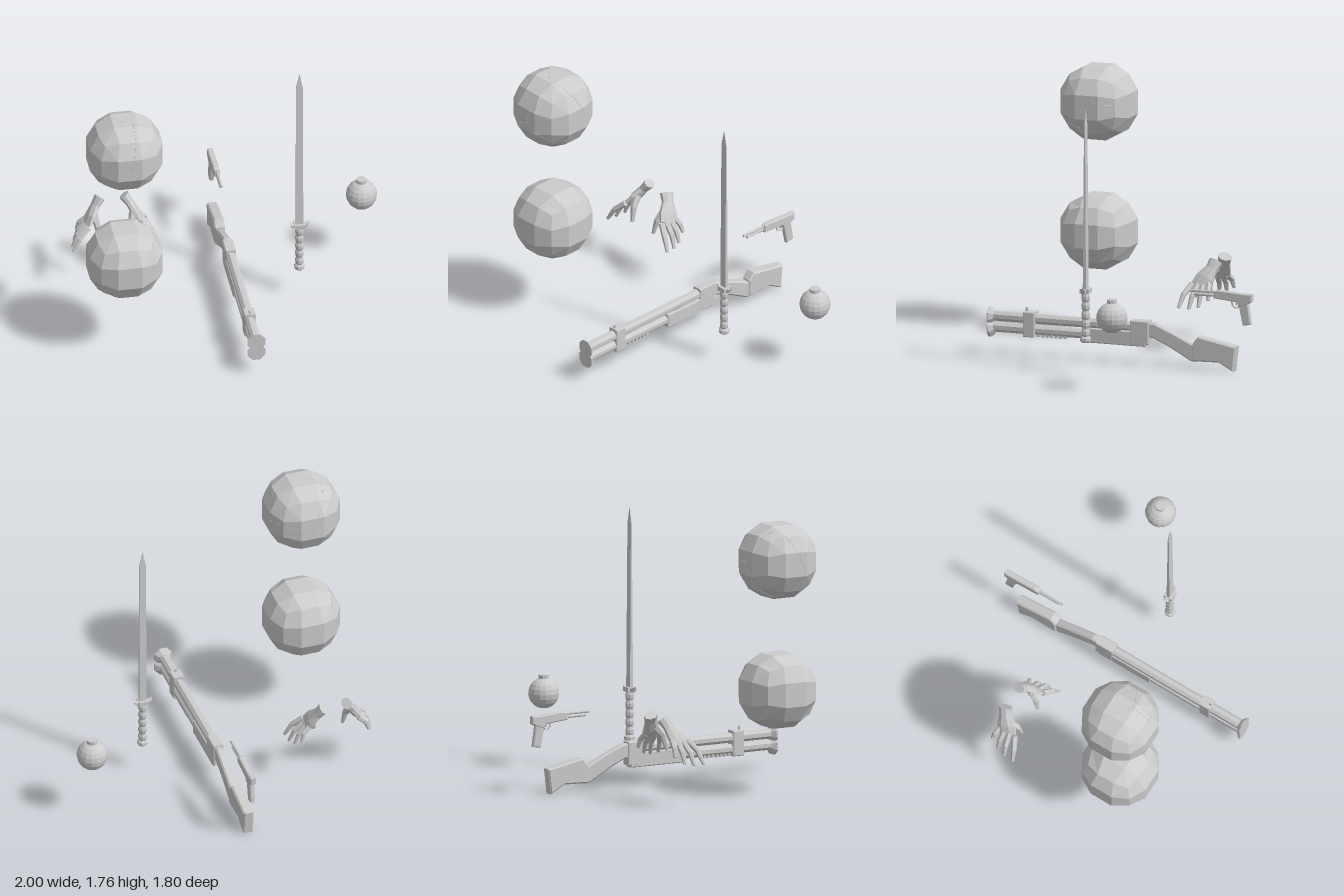
import * as THREE from 'three';
import { ConvexGeometry } from 'three/addons/geometries/ConvexGeometry.js';

const grey = new THREE.MeshStandardMaterial({ color: 0xcccccc, flatShading: true });

function add(parent, name, geometry, x = 0, y = 0, z = 0) {
  const mesh = new THREE.Mesh(geometry, grey);
  mesh.name = name;
  mesh.position.set(x, y, z);
  parent.add(mesh);
  return mesh;
}

function group(parent, name, x = 0) {
  const g = new THREE.Group();
  g.name = name;
  g.position.x = x;
  parent.add(g);
  return g;
}

// Closed loft through stations [x, y, z, thickness radius, width radius]
function loft(stations, sides = 8, phase = Math.PI / sides) {
  const pts = stations.map(s => new THREE.Vector3(s[0], s[1], s[2]));
  const pos = [], index = [], last = pts.length - 1;
  pts.forEach((p, i) => {
    const d = pts[Math.min(i + 1, last)].clone().sub(pts[Math.max(i - 1, 0)]).normalize();
    const ref = Math.abs(d.z) > 0.9 ? new THREE.Vector3(1, 0, 0) : new THREE.Vector3(0, 0, 1);
    const side = ref.addScaledVector(d, -ref.dot(d)).normalize();
    const n = d.clone().cross(side);
    const [, , , ru, rv = ru] = stations[i];
    for (let j = 0; j < sides; j++) {
      const a = phase + j / sides * Math.PI * 2;
      const v = p.clone().addScaledVector(side, rv * Math.cos(a)).addScaledVector(n, ru * Math.sin(a));
      pos.push(v.x, v.y, v.z);
    }
  });
  const start = pos.length / 3;
  [pts[0], pts[last]].forEach(p => pos.push(p.x, p.y, p.z));
  for (let j = 0; j < sides; j++) {
    const k = (j + 1) % sides;
    for (let i = 0; i < last; i++) {
      const a = i * sides, b = a + sides;
      index.push(a + j, a + k, b + k, a + j, b + k, b + j);
    }
    index.push(start, k, j, start + 1, last * sides + j, last * sides + k);
  }
  const g = new THREE.BufferGeometry();
  g.setAttribute('position', new THREE.Float32BufferAttribute(pos, 3));
  g.setIndex(index);
  g.computeVertexNormals();
  return g;
}

// Chamfered plate from an outline, centred on its own thickness
function plate(outline, width, bevel = 0.006) {
  const shape = new THREE.Shape(outline.map(p => new THREE.Vector2(p[0], p[1])));
  const g = new THREE.ExtrudeGeometry(shape, {
    depth: width - 2 * bevel, bevelEnabled: bevel > 0, bevelSize: bevel,
    bevelThickness: bevel, bevelOffset: -bevel, bevelSegments: 1
  });
  return g.translate(0, 0, bevel - width / 2);
}

// Same, with the outline given as [z, y] and the thickness along x
const sidePlate = (outline, width, bevel) => plate(outline, width, bevel).rotateY(-Math.PI / 2);
const block = (z0, z1, y0, y1) => [[z0, y0], [z1, y0], [z1, y1], [z0, y1]];

// Faceted ball: a 3 x 3 x 3 box pushed out to a sphere
function facetedBall(radius) {
  const g = new THREE.BoxGeometry(2, 2, 2, 3, 3, 3), p = g.attributes.position;
  const v = new THREE.Vector3();
  for (let i = 0; i < p.count; i++) {
    v.fromBufferAttribute(p, i).setLength(radius);
    p.setXYZ(i, v.x, v.y, v.z);
  }
  g.computeVertexNormals();
  return g;
}

// Keep the part of a convex solid behind a plane
function clip(geometry, plane) {
  const p = geometry.attributes.position, found = new Map();
  const keep = v => found.set(v.toArray().map(c => c.toFixed(5)).join(), v);
  for (let i = 0; i < p.count; i += 3) {
    const tri = [0, 1, 2].map(k => new THREE.Vector3().fromBufferAttribute(p, i + k));
    tri.forEach((a, k) => {
      const b = tri[(k + 1) % 3], da = plane.distanceToPoint(a), db = plane.distanceToPoint(b);
      if (da <= 0) keep(a);
      if (da * db < 0) keep(a.clone().lerp(b, da / (da - db)));
    });
  }
  return new ConvexGeometry([...found.values()]);
}

function buildBalls(root) {
  add(root, 'wholeBall', facetedBall(0.26), -0.765, 0.685, 0.455);
  // Shattered ball: fitted pieces divided by hairline cracks
  const cracked = group(root, 'crackedBall');
  cracked.position.set(-0.765, 1.525, 0.455);
  const seeds = [[-0.1, 0.1, 0.12], [0.13, 0.05, 0.1], [0, -0.14, 0.08],
    [0.08, 0.12, -0.1], [0.1, -0.1, -0.11], [-0.13, 0, -0.1]].map(s => new THREE.Vector3(...s));
  const p = facetedBall(0.26).attributes.position, points = [];
  for (let i = 0; i < p.count; i++) points.push(new THREE.Vector3().fromBufferAttribute(p, i));
  const whole = new ConvexGeometry(points);
  seeds.forEach(s => {
    let piece = whole;
    seeds.filter(o => o !== s).forEach(o => {
      const plane = new THREE.Plane().setFromNormalAndCoplanarPoint(
        o.clone().sub(s).normalize(), o.clone().add(s).multiplyScalar(0.5));
      plane.constant += 0.0005;
      piece = clip(piece, plane);
    });
    add(cracked, 'ballPiece', piece);
  });
}

function buildBomb(root) {
  const bomb = group(root, 'bomb');
  add(bomb, 'bombBody', new THREE.SphereGeometry(0.1, 16, 10), 0.895, 0.485, -0.28);
  add(bomb, 'bombCap', new THREE.CylinderGeometry(0.034, 0.034, 0.03, 8), 0.895, 0.587, -0.28);
}

function buildSword(root) {
  const sword = group(root, 'sword', 0.432);
  sword.position.z = 0.08;
  add(sword, 'blade', loft([[0, 0.54, 0, 0.034, 0.016], [0, 1.62, 0, 0.03, 0.005],
    [0, 1.72, 0, 0.002, 0.001]], 4));
  add(sword, 'guard', plate([[-0.045, 0.53], [0.045, 0.53], [0.062, 0.563], [0.04, 0.556],
    [-0.04, 0.556], [-0.062, 0.563]], 0.03, 0.004));
  add(sword, 'guardBlock', new THREE.BoxGeometry(0.064, 0.03, 0.06), 0, 0.546, 0);
  // Grip with five swells
  const grip = [new THREE.Vector2(0.02, 0.24)];
  for (let i = 0; i < 5; i++) {
    const y = 0.245 + i * 0.057;
    grip.push(new THREE.Vector2(0.021, y), new THREE.Vector2(0.028, y + 0.017),
      new THREE.Vector2(0.028, y + 0.038));
  }
  grip.push(new THREE.Vector2(0.021, 0.535));
  add(sword, 'grip', new THREE.LatheGeometry(grip, 8, Math.PI / 8));
  const pommel = [[0, 0.21], [0.026, 0.21], [0.035, 0.22], [0.035, 0.238], [0.024, 0.25], [0, 0.25]];
  add(sword, 'pommel', new THREE.LatheGeometry(pommel.map(p => new THREE.Vector2(...p)), 8, Math.PI / 8));
}

function buildLongGun(root) {
  const gun = group(root, 'longGun', 0.015);
  // Two stacked barrels with flared muzzles
  for (const y of [0.248, 0.176]) {
    const f = y > 0.2 ? 0.248 : 0.17;
    add(gun, 'barrel', loft([[0, y, -0.1, 0.033], [0, y, 0.88, 0.033]]));
    add(gun, 'muzzleFlare', loft([[0, y, 0.865, 0.033], [0, f, 0.89, 0.06], [0, f, 0.9, 0.062]]));
  }
  add(gun, 'barrelBand', sidePlate(block(0.58, 0.66, 0.13, 0.295), 0.074));
  add(gun, 'frontSight', new THREE.BoxGeometry(0.012, 0.03, 0.014), 0, 0.303, 0.645);
  for (let i = 0; i < 7; i++)
    add(gun, 'gripRib', new THREE.BoxGeometry(0.04, 0.02, 0.018), 0, 0.143, 0.38 + i * 0.03);
  add(gun, 'forestock', sidePlate(block(-0.18, 0.21, 0.125, 0.22), 0.068));
  add(gun, 'receiver', sidePlate([[-0.2, 0.14], [-0.07, 0.14], [-0.07, 0.292], [-0.2, 0.292]], 0.07));
  // Stock: sloping wrist, then the broad butt
  add(gun, 'stockWrist', sidePlate([[-0.17, 0.19], [-0.17, 0.282], [-0.235, 0.282], [-0.38, 0.22],
    [-0.52, 0.155], [-0.52, 0.05], [-0.48, 0.055], [-0.33, 0.137], [-0.22, 0.185]], 0.052, 0.01));
  add(gun, 'stockButt', sidePlate([[-0.495, 0.055], [-0.5, 0.175], [-0.54, 0.22], [-0.797, 0.17],
    [-0.778, 0.005], [-0.676, 0.06]], 0.07, 0.01));
}

function buildPistol(root) {
  const pistol = group(root, 'pistol', 0.022);
  add(pistol, 'pistolBarrel', loft([[0, 0.513, -0.7, 0.009], [0, 0.513, -0.47, 0.009]]));
  add(pistol, 'pistolRod', loft([[0, 0.492, -0.7, 0.01], [0, 0.492, -0.5, 0.01]]));
  add(pistol, 'pistolFrame', sidePlate([[-0.64, 0.475], [-0.645, 0.522], [-0.675, 0.53],
    [-0.84, 0.517], [-0.903, 0.517], [-0.903, 0.468], [-0.88, 0.455], [-0.81, 0.43], [-0.8, 0.46]], 0.04));
  add(pistol, 'pistolGrip', sidePlate([[-0.81, 0.45], [-0.875, 0.455], [-0.895, 0.32], [-0.838, 0.31]], 0.032));
  const guard = [[0.462, -0.76], [0.435, -0.765], [0.42, -0.785], [0.425, -0.815]];
  add(pistol, 'triggerGuard', loft(guard.map(([y, z]) => [0, y, z, 0.004, 0.008]), 4));
  add(pistol, 'trigger', new THREE.BoxGeometry(0.008, 0.025, 0.006), 0, 0.45, -0.79);
}

// Hands are mirrored about x = -0.7
function buildHand(root, name, mirrored) {
  const hand = group(root, name);
  const part = (label, stations, sides) => add(hand, label,
    loft(stations.map(([x, ...rest]) => [mirrored ? -1.4 - x : x, ...rest]), sides));
  part('palm', [[-0.622, 0.575, -0.4, 0.034, 0.047], [-0.59, 0.53, -0.382, 0.027, 0.042],
    [-0.555, 0.475, -0.352, 0.028, 0.066], [-0.525, 0.425, -0.33, 0.018, 0.07]], 8);
  // Knuckle, middle joint and tip of each finger
  const fingers = [
    [[-0.53, 0.435, -0.275], [-0.465, 0.375, -0.24], [-0.42, 0.295, -0.222]],
    [[-0.53, 0.435, -0.313], [-0.462, 0.37, -0.3], [-0.428, 0.29, -0.288]],
    [[-0.53, 0.435, -0.35], [-0.475, 0.375, -0.35], [-0.446, 0.302, -0.347]],
    [[-0.535, 0.44, -0.385], [-0.49, 0.4, -0.398], [-0.472, 0.345, -0.405]]
  ];
  const radii = [0.021, 0.018, 0.011];
  fingers.forEach(f => part('finger', f.map((p, i) => [...p, radii[i], radii[i]]), 6));
  part('thumb', [[-0.575, 0.49, -0.335, 0.026, 0.03], [-0.59, 0.43, -0.29, 0.022, 0.022],
    [-0.603, 0.335, -0.268, 0.012, 0.012]], 6);
}

export function createModel() {
  const root = new THREE.Group();
  root.name = 'propCollection';
  buildBalls(root);
  buildBomb(root);
  buildSword(root);
  buildLongGun(root);
  buildPistol(root);
  buildHand(root, 'leftHand', false);
  buildHand(root, 'rightHand', true);
  return root;
}
